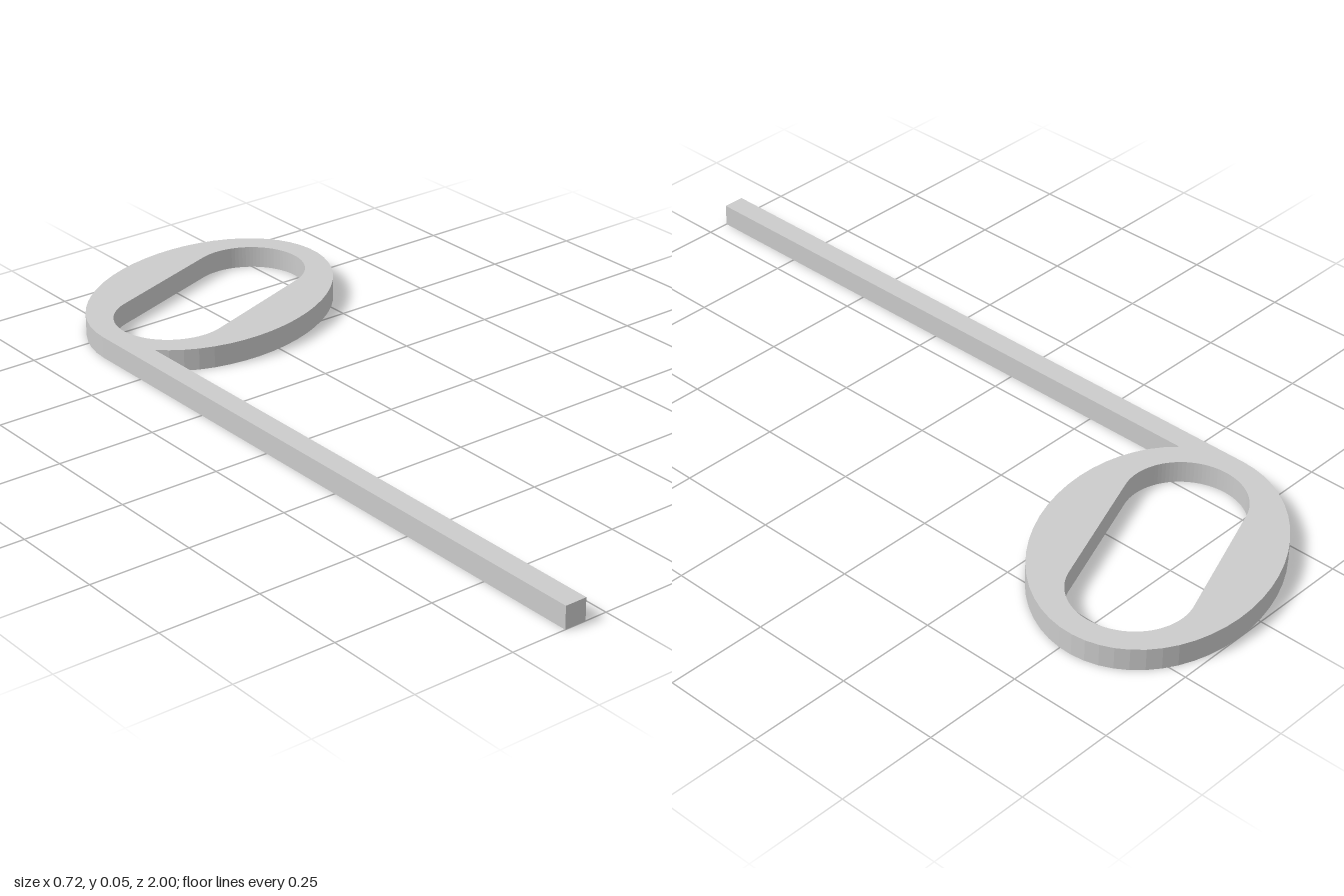
import * as THREE from 'three';

const TILT = THREE.MathUtils.degToRad(20);
const A = 0.371, B = 0.273;        // head semi-axes
const CY = 0.714;                  // head centre, measured towards the back
const THICKNESS = 0.055, STEM_WIDTH = 0.055;

export function createModel() {
  const group = new THREE.Group();
  const c = Math.cos(TILT), s = Math.sin(TILT);

  // Leftmost point of the tilted oval, where the stem runs off as a tangent
  const halfWidth = Math.hypot(A * c, B * s);
  const tLeft = Math.atan2(-B * s, A * c) + Math.PI;
  const tNotch = tLeft + Math.acos(1 - STEM_WIDTH / halfWidth);

  // One outline: stem, then around the oval head and back to the stem
  const outline = new THREE.Shape();
  outline.moveTo(-halfWidth, -1);
  outline.lineTo(-halfWidth + STEM_WIDTH, -1);
  outline.absellipse(0, CY, A, B, tNotch, tLeft + Math.PI * 2, false, TILT);
  outline.closePath();

  // Round-ended slot through the head
  const d = 0.171, r = 0.1415;
  const slot = new THREE.Path();
  slot.absarc(d * c, CY + d * s, r, TILT - Math.PI / 2, TILT + Math.PI / 2, false);
  slot.absarc(-d * c, CY - d * s, r, TILT + Math.PI / 2, TILT + Math.PI * 1.5, false);
  slot.closePath();
  outline.holes.push(slot);

  // Extrude and lay flat on the ground
  const geometry = new THREE.ExtrudeGeometry(outline, {
    depth: THICKNESS, bevelEnabled: false, curveSegments: 24,
  });
  geometry.rotateX(-Math.PI / 2);

  const note = new THREE.Mesh(geometry, new THREE.MeshStandardMaterial({ color: 0xcccccc }));
  note.name = 'noteHeadAndStem';
  group.add(note);
  return group;
}
